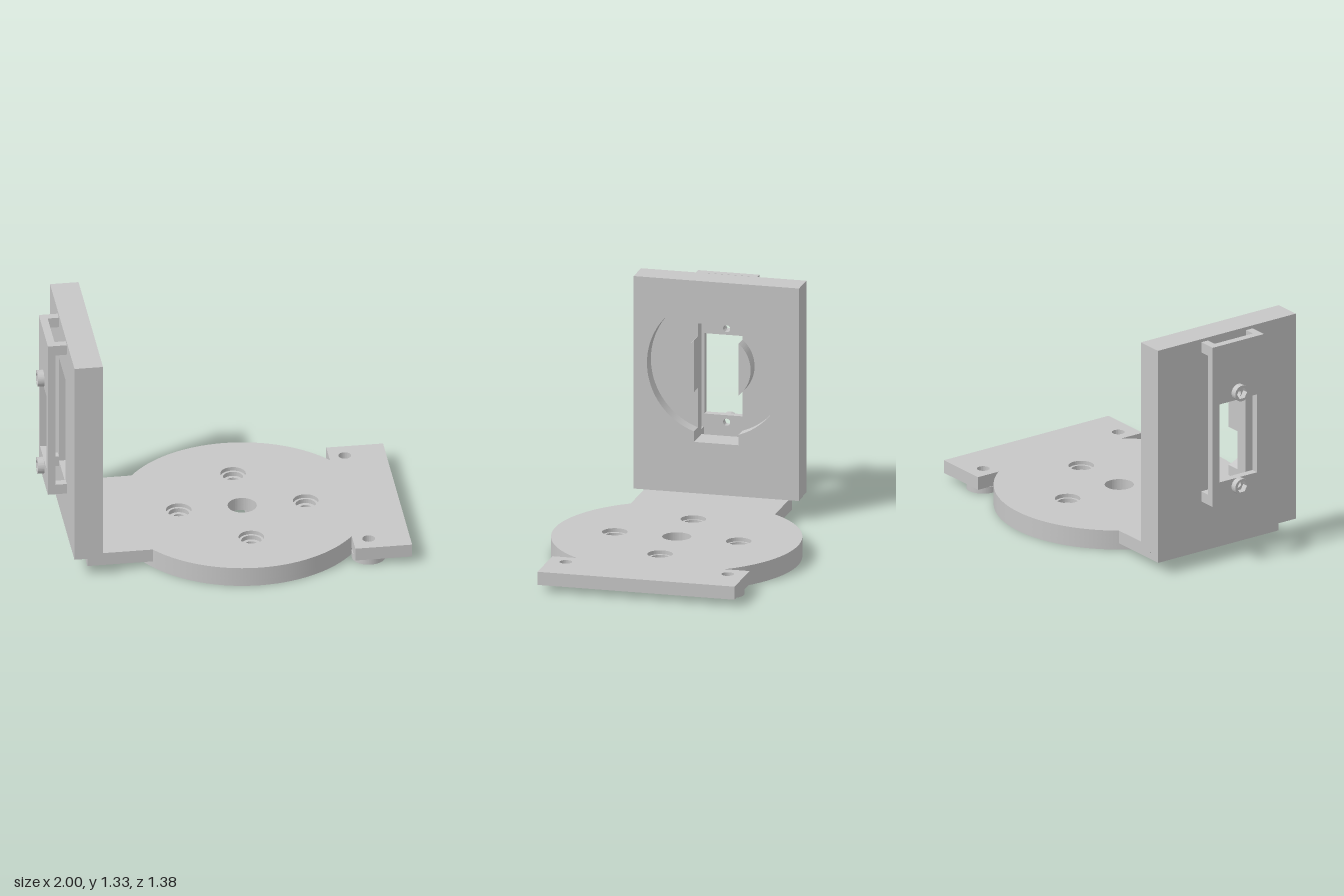
import * as THREE from 'three';
import { toCreasedNormals } from 'three/addons/utils/BufferGeometryUtils.js';

const TAU = Math.PI * 2;

const circle = (u, v, r) => new THREE.Path().absarc(u, v, r, 0, TAU, false);
const disc = (u, v, r) => new THREE.Shape().absarc(u, v, r, 0, TAU, false);
const polygon = (points) => new THREE.Shape(points.map(([u, v]) => new THREE.Vector2(u, v)));
const rect = (u, v0, v1) => polygon([[-u, v0], [u, v0], [u, v1], [-u, v1]]);

function hexagon(u, v, r) {
  const pts = [];
  for (let i = 0; i < 6; i++) pts.push([u + r * Math.cos(i * TAU / 6), v + r * Math.sin(i * TAU / 6)]);
  return polygon(pts);
}

function cut(shape, holes) {
  shape.holes.push(...holes);
  return shape;
}

export function createModel() {
  const group = new THREE.Group();
  const grey = new THREE.MeshStandardMaterial({ color: 0xc6c6c6 });
  grey.name = 'light grey plastic';

  function extrude(name, shape, depth) {
    const raw = new THREE.ExtrudeGeometry(shape, { depth, bevelEnabled: false, curveSegments: 64 });
    const mesh = new THREE.Mesh(toCreasedNormals(raw, 0.5), grey);
    mesh.name = name;
    group.add(mesh);
    return mesh.geometry;
  }
  // Horizontal layer: shape in x/z, from y0 to y1
  const layer = (name, shape, y0, y1) =>
    extrude(name, shape, y1 - y0).rotateX(-Math.PI / 2).translate(0, y0, 0);
  // Upright layer: shape in z/y, from x0 to x1
  const panel = (name, shape, x0, x1) =>
    extrude(name, shape, x1 - x0).rotateY(Math.PI / 2).translate(x0, 0, 0);

  const cx = 0.138, R = 0.69, screw = 0.352;
  const yLow = 0.037, yTop = 0.112;
  const screwSpots = [[cx + screw, 0], [cx - screw, 0], [cx, screw], [cx, -screw]];
  const boltSpots = [[0.773, 0.46], [0.773, -0.46]];

  // Base plate outline: rear tongue, round middle, wide end
  function baseOutline() {
    const a = Math.acos((0.685 - cx) / R), b = Math.PI - Math.asin(0.41 / R);
    const s = new THREE.Shape();
    s.moveTo(1, -0.56);
    s.lineTo(1, 0.56);
    s.lineTo(0.685, 0.56);
    s.absarc(cx, 0, R, a, b, false);
    s.lineTo(-0.78, 0.41);
    s.lineTo(-0.78, -0.41);
    s.absarc(cx, 0, R, -b, -a, false);
    s.lineTo(0.685, -0.56);
    s.closePath();
    return s;
  }

  // Base plate in three layers, so the screw holes step inwards
  [[yLow, 0.065, 0.035], [0.065, 0.09, 0.056], [0.09, yTop, 0.07]].forEach(([y0, y1, r]) => {
    layer('basePlate', cut(baseOutline(), [
      circle(cx, 0, 0.08),
      ...screwSpots.map(([x, z]) => circle(x, z, r)),
      ...boltSpots.map(([x, z]) => circle(x, z, 0.035)),
    ]), y0, y1);
  });

  // Underside rim, leaving a ring groove around the hub
  layer('bottomRim', cut(disc(cx, 0, R), [circle(cx, 0, 0.637)]), 0, yLow);

  // Underside hub with a cross-shaped slot: long arms in x, short arms in z
  const cross = new THREE.Path();
  for (let i = 0; i < 4; i++) {
    const t = i * Math.PI / 2;
    const reach = i % 2 ? 0.17 : screw, tip = i % 2 ? 0.03 : 0.035;
    cross.absarc(cx + reach * Math.cos(t), reach * Math.sin(t), tip, t - Math.PI / 2, t + Math.PI / 2, false);
    cross.absarc(cx, 0, 0.08, t + 0.46, t + Math.PI / 2 - 0.46, false);
  }
  cross.closePath();
  layer('bottomHub', cut(disc(cx, 0, 0.4), [
    cross, circle(cx, screw, 0.034), circle(cx, -screw, 0.034),
  ]), 0, yLow);

  // Nut holders under the wide end
  boltSpots.forEach(([x, z]) =>
    layer('baseNutHolder', cut(disc(x, z, 0.093), [hexagon(x, z, 0.062)]), 0, yLow));

  // Upright plate: thin back with a tall opening, thick front with a round
  // recess whose lower edge is broken by the same opening
  const mid = 0.838, recess = 0.394, half = 0.127, xFloor = -0.785, xFront = -0.702;
  panel('uprightBack', cut(rect(0.47, 0.118, 1.328), [rect(half, 0.405, 1.06)]), -0.86, xFloor);
  const d = Math.asin(half / recess);
  const recessHole = new THREE.Path();
  recessHole.absarc(0, mid, recess, -Math.PI / 2 + d, Math.PI * 1.5 - d, false);
  recessHole.lineTo(-half, 0.405);
  recessHole.lineTo(half, 0.405);
  recessHole.closePath();
  panel('uprightFront', cut(rect(0.47, 0.112, 1.328), [recessHole]), xFloor, xFront);

  // Two round-backed cheeks of the central boss, either side of the opening
  const a = Math.acos(half / 0.195);
  [0, Math.PI].forEach((t) => {
    const s = new THREE.Shape().absarc(0, mid, 0.195, t - a, t + a, false);
    s.closePath();
    panel('bossCheek', s, xFloor, xFront);
  });

  // Small lip under the upright
  const lip = new THREE.Mesh(new THREE.BoxGeometry(0.04, 0.018, 0.82), grey);
  lip.name = 'lip';
  lip.position.set(-0.8, 0.109, 0);
  group.add(lip);

  // Rear bracket: windowed plate on four corner posts
  panel('bracketPlate', cut(rect(0.175, 0.37, 1.31), [
    rect(half, 0.505, 0.965), circle(0, 0.465, 0.02), circle(0, 1, 0.02),
  ]), -0.965, -0.922);
  for (const side of [-1, 1]) {
    for (const y of [0.4, 1.28]) {
      const post = new THREE.Mesh(new THREE.BoxGeometry(0.062, 0.06, 0.045), grey);
      post.name = 'bracketPost';
      post.position.set(-0.891, y, side * 0.1525);
      group.add(post);
    }
  }

  // Nut holders on the bracket
  [0.459, 1.011].forEach((y) =>
    panel('bracketNutHolder', cut(disc(0, y, 0.046), [hexagon(0, y, 0.034)]), -1, -0.965));

  return group;
}
